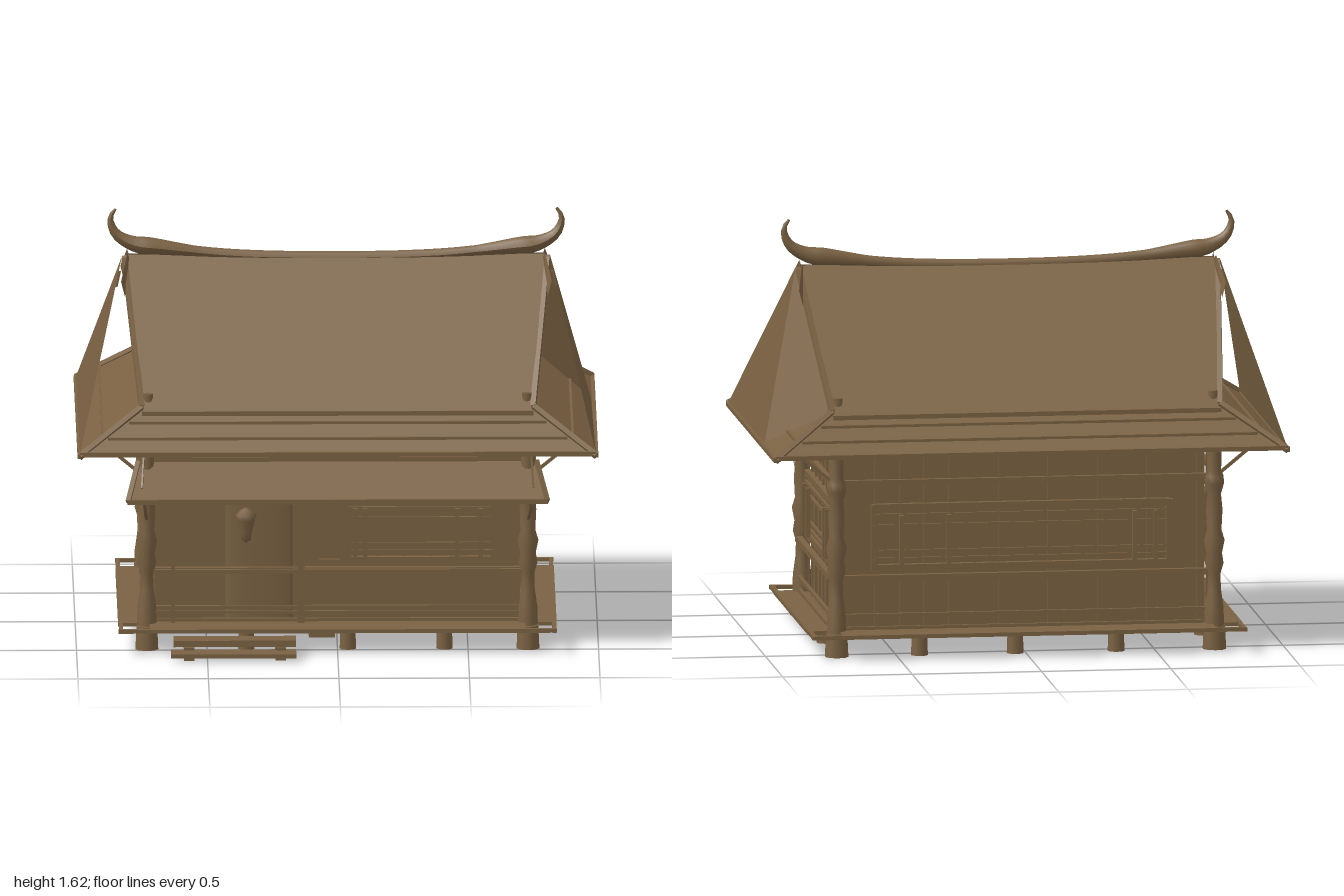
import * as THREE from 'three';

export function createModel() {
  const root = new THREE.Group();
  root.name = 'timberHouse';
  const wood = new THREE.MeshStandardMaterial({ color: 0x7a6142, side: THREE.DoubleSide });
  wood.name = 'brown wood';

  const add = (name, geo) => {
    const m = new THREE.Mesh(geo, wood);
    m.name = name;
    root.add(m);
    return m;
  };
  // box given by its limits
  const block = (name, x0, x1, y0, y1, z0, z1) => {
    const m = add(name, new THREE.BoxGeometry(x1 - x0, y1 - y0, z1 - z0));
    m.position.set((x0 + x1) / 2, (y0 + y1) / 2, (z0 + z1) / 2);
    return m;
  };
  // square or round bar between two points
  const bar = (name, a, b, w = 0.02, sides = 4) => {
    const p = new THREE.Vector3(...a), q = new THREE.Vector3(...b);
    const geo = new THREE.CylinderGeometry(w * 0.6, w * 0.6, p.distanceTo(q), sides);
    if (sides === 4) geo.rotateY(Math.PI / 4);
    const flat = geo.toNonIndexed();
    if (sides === 4) flat.computeVertexNormals();
    const m = add(name, flat);
    m.position.copy(p).lerp(q, 0.5);
    m.quaternion.setFromUnitVectors(new THREE.Vector3(0, 1, 0), q.sub(p).normalize());
    return m;
  };
  // flat polygon as a triangle fan
  const sheet = (name, ...pts) => {
    const pos = [];
    for (let i = 1; i < pts.length - 1; i++) pos.push(...pts[0], ...pts[i], ...pts[i + 1]);
    const geo = new THREE.BufferGeometry();
    geo.setAttribute('position', new THREE.Float32BufferAttribute(pos, 3));
    geo.computeVertexNormals();
    return add(name, geo);
  };

  // deck, with open corners inside a thin outer rail
  block('deckLong', -0.72, 0.72, 0.085, 0.1, -0.67, 0.59);
  block('deckWide', -0.84, 0.84, 0.084, 0.098, -0.53, 0.46);
  for (const z of [-0.66, 0.58]) bar('deckRail', [-0.84, 0.092, z], [0.84, 0.092, z], 0.018);
  for (const x of [-0.83, 0.83]) bar('deckRail', [x, 0.092, -0.67], [x, 0.092, 0.59], 0.018);

  // stub feet around the edge
  const footX = [-0.73, -0.35, 0.04, 0.41, 0.73], footZ = [0.47, 0.175, -0.2, -0.54];
  footX.forEach((x, i) => footZ.forEach((z, j) => {
    const edgeX = i === 0 || i === 4, edgeZ = j === 0 || j === 3;
    if (!edgeX && !edgeZ) return;
    const r = edgeX && edgeZ ? 0.046 : 0.033;
    const f = add('foot', new THREE.CylinderGeometry(r * 0.9, r, 0.09, 10));
    f.position.set(x, 0.045, z);
  }));

  // entry steps
  block('upperStep', -0.63, -0.16, 0.045, 0.07, 0.565, 0.65);
  block('lowerStep', -0.64, -0.16, 0.018, 0.034, 0.64, 0.73);
  for (const x of [-0.57, -0.22]) {
    block('stepFoot', x - 0.02, x + 0.02, 0.005, 0.018, 0.66, 0.71);
    block('stepBearer', x - 0.02, x + 0.02, 0.025, 0.045, 0.57, 0.66);
  }
  block('frontBlock', -0.11, -0.01, 0.05, 0.085, 0.43, 0.51);

  // turned corner posts
  const postProfile = [[0.038, 0.09], [0.036, 0.16], [0.026, 0.23], [0.024, 0.29], [0.036, 0.33], [0.03, 0.37],
    [0.04, 0.42], [0.028, 0.46], [0.032, 0.54], [0.026, 0.6], [0.038, 0.64], [0.036, 0.67], [0.027, 0.69], [0.028, 0.8]]
    .map(p => new THREE.Vector2(...p));
  for (const sx of [-1, 1]) for (const z of [0.455, -0.535]) {
    add('cornerPost', new THREE.LatheGeometry(postProfile, 12)).position.set(sx * 0.73, 0, z);
    bar('eaveBrace', [sx * 0.75, 0.68, z], [sx * 0.89, 0.795, z], 0.014);
    bar('eaveBrace', [sx * 0.74, 0.69, z], [sx * 0.74, 0.795, z - Math.sign(z) * 0.14], 0.014);
  }

  // front wall with doorway and window openings
  const rect = (T, x0, x1, y0, y1) => new T([[x0, y0], [x1, y0], [x1, y1], [x0, y1]].map(p => new THREE.Vector2(...p)));
  const front = rect(THREE.Shape, -0.7, 0.7, 0.1, 0.8);
  front.holes.push(rect(THREE.Path, -0.58, -0.5, 0.12, 0.58), rect(THREE.Path, -0.07, 0.01, 0.33, 0.55),
    rect(THREE.Path, 0.06, 0.58, 0.36, 0.56));
  add('frontWall', new THREE.ExtrudeGeometry(front, { depth: 0.02, bevelEnabled: false })).position.z = 0.375;
  block('innerPartition', -0.69, 0.69, 0.1, 0.8, 0.28, 0.29);
  block('backWall', -0.7, 0.7, 0.1, 0.8, -0.485, -0.465);
  for (const s of [-1, 1]) block('sideWall', s * 0.69 - 0.01, s * 0.69 + 0.01, 0.1, 0.8, -0.48, 0.39);

  // rounded door leaf
  const door = add('doorLeaf', new THREE.CylinderGeometry(0.13, 0.13, 0.48, 16, 1, true, -Math.PI / 2, Math.PI));
  door.position.set(-0.3, 0.34, 0.393);
  door.scale.z = 0.15;

  // lattice and window frame; map(u, y, d) places it on a wall, d outward
  const lattice = (u0, u1, count, map, w0, w1, skip = () => false) => {
    for (let i = 0; i <= count; i++) {
      const u = u0 + (u1 - u0) * i / count;
      if (!skip(u)) bar('latticeUpright', map(u, 0.1, 0.012), map(u, 0.8, 0.012), 0.01);
    }
    for (const [y, w] of [[0.105, 0.016], [0.155, 0.016], [0.3, 0.028], [0.67, 0.024], [0.785, 0.02]])
      bar('wallRail', map(u0 - 0.06, y, 0.045), map(u1 + 0.06, y, 0.045), w);
    for (const y of [0.335, 0.57]) bar('windowFrame', map(w0, y, 0.02), map(w1, y, 0.02), 0.03);
    for (const u of [w0, w1]) bar('windowFrame', map(u, 0.325, 0.02), map(u, 0.58, 0.02), 0.03);
    for (const y of [0.37, 0.4, 0.5, 0.54]) bar('windowSlat', map(w0, y, 0.03), map(w1, y, 0.03), 0.012);
    for (const t of [0.05, 0.12, 0.75, 0.91]) {
      const u = w0 + (w1 - w0) * t;
      bar('windowUpright', map(u, 0.35, 0.045), map(u, 0.54, 0.045), 0.02);
    }
  };
  for (const s of [-1, 1]) lattice(-0.45, 0.4, 8, (u, y, d) => [s * (0.7 + d), y, u], -0.39, 0.36);
  lattice(-0.67, 0.67, 14, (u, y, d) => [u, y, -0.485 - d], -0.56, 0.58);
  lattice(-0.67, 0.67, 13, (u, y, d) => [u, y, 0.395 + d], 0.04, 0.6, u => u < 0.03);

  // porch rails and uprights
  for (const [y, w] of [[0.59, 0.024], [0.3, 0.018], [0.14, 0.012]]) bar('porchRail', [-0.72, y, 0.46], [0.72, y, 0.46], w);
  for (const x of [-0.63, -0.14]) bar('porchUpright', [x, 0.1, 0.46], [x, 0.6, 0.46], x < -0.5 ? 0.018 : 0.032);
  bar('doorJamb', [-0.48, 0.1, 0.4], [-0.48, 0.6, 0.4], 0.025);

  // hanging lantern
  const lanternProfile = [[0, 0.41], [0.018, 0.42], [0.022, 0.45], [0.034, 0.5], [0.04, 0.52], [0.02, 0.54], [0, 0.55]];
  add('lantern', new THREE.LatheGeometry(lanternProfile.map(p => new THREE.Vector2(...p)), 8)).position.set(-0.35, 0, 0.45);
  bar('lanternCord', [-0.35, 0.54, 0.45], [-0.35, 0.63, 0.45], 0.006);

  // porch awning and curved brackets
  sheet('awning', [-0.76, 0.735, 0.44], [0.76, 0.735, 0.44], [0.8, 0.61, 0.61], [-0.8, 0.61, 0.61]);
  sheet('awningUnderside', [-0.76, 0.71, 0.44], [0.76, 0.71, 0.44], [0.8, 0.595, 0.605], [-0.8, 0.595, 0.605]);
  bar('awningEdge', [-0.805, 0.605, 0.605], [0.805, 0.605, 0.605], 0.022);
  bar('awningTopRail', [-0.76, 0.735, 0.44], [0.76, 0.735, 0.44], 0.024);
  for (const s of [-1, 1]) {
    bar('awningSide', [s * 0.76, 0.725, 0.44], [s * 0.8, 0.605, 0.605], 0.024);
    bar('awningStay', [s * 0.74, 0.79, 0.47], [s * 0.75, 0.65, 0.56], 0.008);
    const curve = new THREE.QuadraticBezierCurve3(new THREE.Vector3(s * 0.73, 0.505, 0.46),
      new THREE.Vector3(s * 0.735, 0.535, 0.56), new THREE.Vector3(s * 0.74, 0.59, 0.6));
    add('awningBracket', new THREE.TubeGeometry(curve, 8, 0.007, 6));
  }

  // main roof: slopes end at the gable boards, with a hipped skirt below
  const ridgeZ = -0.025, ridgeY = 1.43, eaveY = 0.795, kneeY = 0.95;
  const apex = s => [s * 0.82, ridgeY, ridgeZ];
  const corner = (s, z) => [s * 0.99, eaveY, z];
  // point on the slope with eave at ez, at height y, lifted by d
  const onSlope = (ez, x, y, d = 0) =>
    [x, y + d, ridgeZ + (ez - ridgeZ) * (ridgeY - y) / (ridgeY - eaveY) + Math.sign(ez) * d];
  const knee = (s, ez) => onSlope(ez, s * 0.75, kneeY);
  const frontEave = 0.66, backEave = -0.73;
  for (const ez of [frontEave, backEave]) {
    sheet('roofSlope', apex(-1), apex(1), knee(1, ez), knee(-1, ez));
    sheet('roofSkirt', knee(-1, ez), knee(1, ez), corner(1, ez), corner(-1, ez));
    sheet('upperThatch', onSlope(ez, -0.8, 1.43, 0.008), onSlope(ez, 0.8, 1.43, 0.008),
      onSlope(ez, 0.74, 0.93, 0.008), onSlope(ez, -0.74, 0.93, 0.008));
    for (const [y, x, w] of [[0.93, 0.75, 0.02], [0.9, 0.8, 0.012], [0.85, 0.88, 0.012], [0.8, 0.99, 0.02]])
      bar('roofBatten', onSlope(ez, -x, y, 0.003), onSlope(ez, x, y, 0.003), w);
    for (const s of [-1, 1]) {
      bar('bargeBoard', onSlope(ez, s * 0.81, 1.42), onSlope(ez, s * 0.75, kneeY, 0.003), 0.024);
      bar('hipBeam', onSlope(ez, s * 0.75, kneeY, 0.003), corner(s, ez), 0.024);
      bar('roofPeg', onSlope(ez, s * 0.725, 0.97), onSlope(ez, s * 0.725, 0.985, 0.016), 0.03, 8);
      // raised flap beside the ridge end
      sheet('ridgeFlap', onSlope(ez, s * 0.8, 1.42, 0.03), onSlope(ez, s * 0.825, 1.33, 0.03),
        onSlope(ez, s * 0.81, 1.3), onSlope(ez, s * 0.79, 1.42));
    }
  }
  for (const s of [-1, 1]) {
    sheet('gable', [s * 0.79, 1.42, ridgeZ], knee(s, frontEave), knee(s, backEave));
    sheet('endSkirt', knee(s, frontEave), corner(s, frontEave), corner(s, backEave), knee(s, backEave));
    bar('endEave', corner(s, frontEave), corner(s, backEave), 0.018);
    bar('endBatten', [s * 0.9, 0.855, 0.59], [s * 0.9, 0.855, -0.66], 0.012);
    bar('gableOrnament', [s * 0.83, 1.37, ridgeZ], [s * 0.843, 1.31, ridgeZ], 0.014);
  }
  // leaning end coverings, the left one reaching only part of the way back
  sheet('endCover', apex(-1), corner(-1, frontEave), corner(-1, backEave));
  sheet('endCover', apex(1), corner(1, frontEave), [0.98, 0.8, -0.33]);
  sheet('endCover', apex(1), [0.98, 0.8, -0.33], knee(1, backEave));
  sheet('soffit', corner(-1, frontEave), corner(1, frontEave), corner(1, backEave), corner(-1, backEave));

  // sagging ridge beam tapering into upturned horns
  const ridgePts = [[-0.845, 1.615], [-0.865, 1.58], [-0.845, 1.52], [-0.78, 1.48], [-0.68, 1.465], [-0.4, 1.435], [0, 1.425],
    [0.4, 1.435], [0.68, 1.465], [0.78, 1.48], [0.845, 1.52], [0.865, 1.58], [0.845, 1.615]];
  const ridgeCurve = new THREE.CatmullRomCurve3(ridgePts.map(p => new THREE.Vector3(p[0], p[1], ridgeZ)));
  const ridge = new THREE.TubeGeometry(ridgeCurve, 80, 1, 8);
  const rp = ridge.attributes.position;
  for (let i = 0; i <= 80; i++) {
    const c = ridgeCurve.getPointAt(i / 80), t = Math.min(i, 80 - i) / 80;
    const r = t < 0.12 ? 0.005 + 0.031 * t / 0.12 : 0.036 - 0.014 * Math.min(1, (t - 0.12) / 0.1);
    for (let j = 0; j <= 8; j++) {
      const n = i * 9 + j;
      rp.setXYZ(n, c.x + (rp.getX(n) - c.x) * r, c.y + (rp.getY(n) - c.y) * r, c.z + (rp.getZ(n) - c.z) * r);
    }
  }
  ridge.computeVertexNormals();
  add('ridgeBeam', ridge);

  return root;
}
